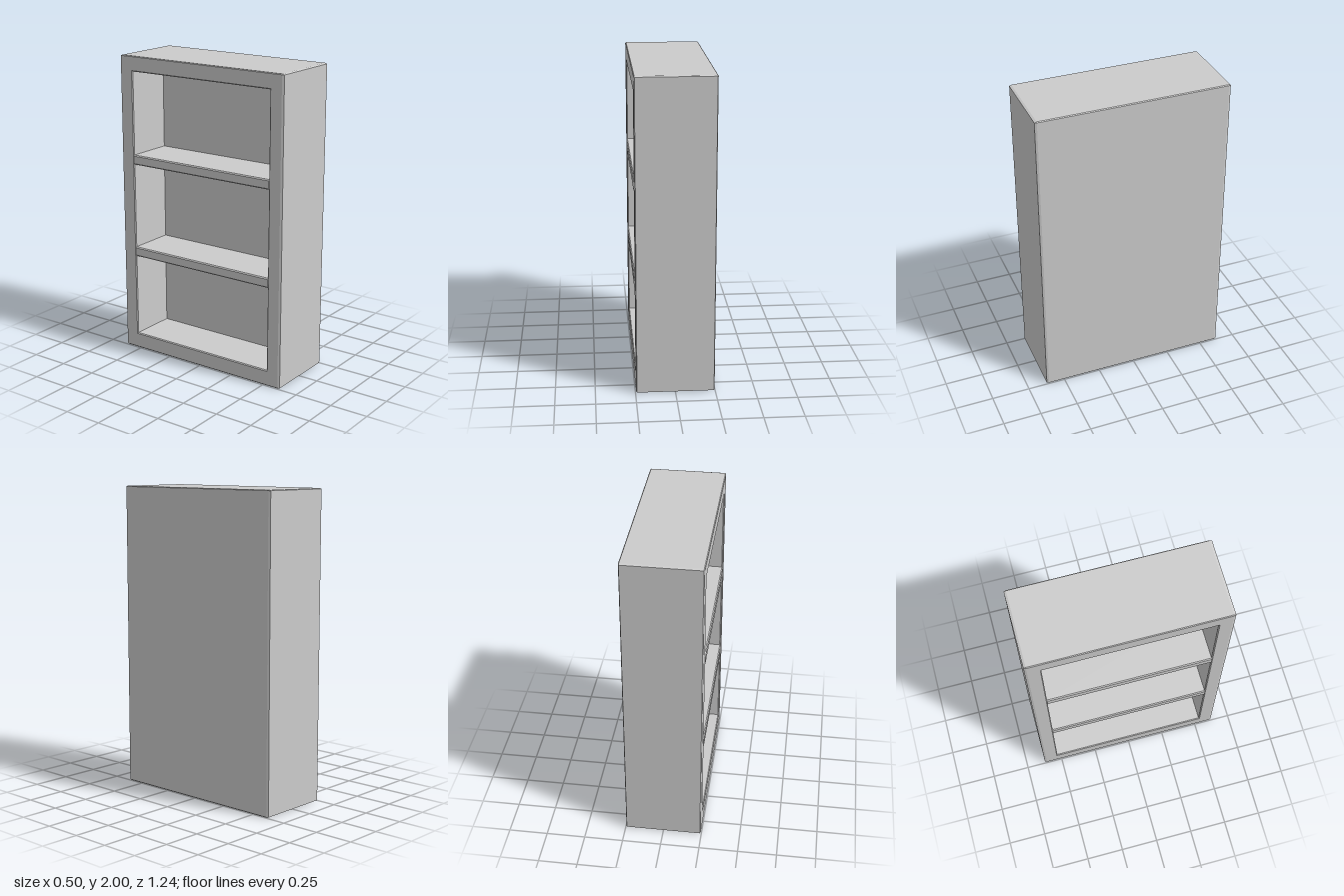
import * as THREE from 'three';
import { ConvexGeometry } from 'three/addons/geometries/ConvexGeometry.js';

const material = new THREE.MeshStandardMaterial({ color: 0xcccccc, flatShading: true });

// Eight-point rectangle in the z-y plane with cut corners, counter-clockwise seen from +x
function ring(x, hz, y0, y1, cz = 0, cy = 0) {
  return [
    [hz - cz, y0], [-hz + cz, y0], [-hz, y0 + cy], [-hz, y1 - cy],
    [-hz + cz, y1], [hz - cz, y1], [hz, y1 - cy], [hz, y0 + cy],
  ].map(([z, y]) => [x, y, z]);
}

// Skin joining successive rings
function loft(rings) {
  const pos = [];
  for (let i = 0; i < rings.length - 1; i++) {
    const a = rings[i], b = rings[i + 1];
    for (let j = 0; j < 8; j++) {
      const k = (j + 1) % 8;
      pos.push(...a[j], ...b[j], ...b[k], ...a[j], ...b[k], ...a[k]);
    }
  }
  const geo = new THREE.BufferGeometry();
  geo.setAttribute('position', new THREE.Float32BufferAttribute(pos, 3));
  geo.computeVertexNormals();
  return geo;
}

// Box with chamfered edges
function chamferBox(w, h, d, c) {
  const pts = [];
  for (const sx of [-1, 1]) for (const sy of [-1, 1]) for (const sz of [-1, 1]) {
    const half = [w / 2, h / 2, d / 2];
    for (let full = 0; full < 3; full++) {
      const v = half.map((s, i) => (i === full ? s : s - c));
      pts.push(new THREE.Vector3(v[0] * sx, v[1] * sy, v[2] * sz));
    }
  }
  return new ConvexGeometry(pts);
}

export function createModel() {
  const group = new THREE.Group();
  const add = (name, geo) => {
    const mesh = new THREE.Mesh(geo, material);
    mesh.name = name;
    group.add(mesh);
    return mesh;
  };

  const back = 0.2475, open = -0.2455, panel = 0.07;
  const hz = 0.622, cx = 0.005, cy = 0.005, cz = 0.014;
  const inZ = 0.525, inY0 = 0.104, inY1 = 1.9, rim = 0.006;

  // Case: solid back, chamfered outside, rim and one tall recess opening toward -x
  add('case', loft([
    ring(back, 0, 1, 1),
    ring(back, hz - cz, cy, 2 - cy),
    ring(back - cx, hz, 0, 2, cz, cy),
    ring(open + cx, hz, 0, 2, cz, cy),
    ring(open, hz - cz, cy, 2 - cy),
    ring(open, inZ + rim, inY0 - rim, inY1 + rim),
    ring(open + rim, inZ, inY0, inY1),
    ring(panel, inZ, inY0, inY1),
    ring(panel, 0, 1, 1),
  ]));

  // Two shelves, edges just proud of the case
  const x0 = -0.2475, x1 = panel + 0.02;
  [0.69, 1.32].forEach((y, i) => {
    const shelf = add(i ? 'upperShelf' : 'lowerShelf', chamferBox(x1 - x0, 0.064, inZ * 2 + 0.016, 0.007));
    shelf.position.set((x0 + x1) / 2, y, 0);
  });

  return group;
}
